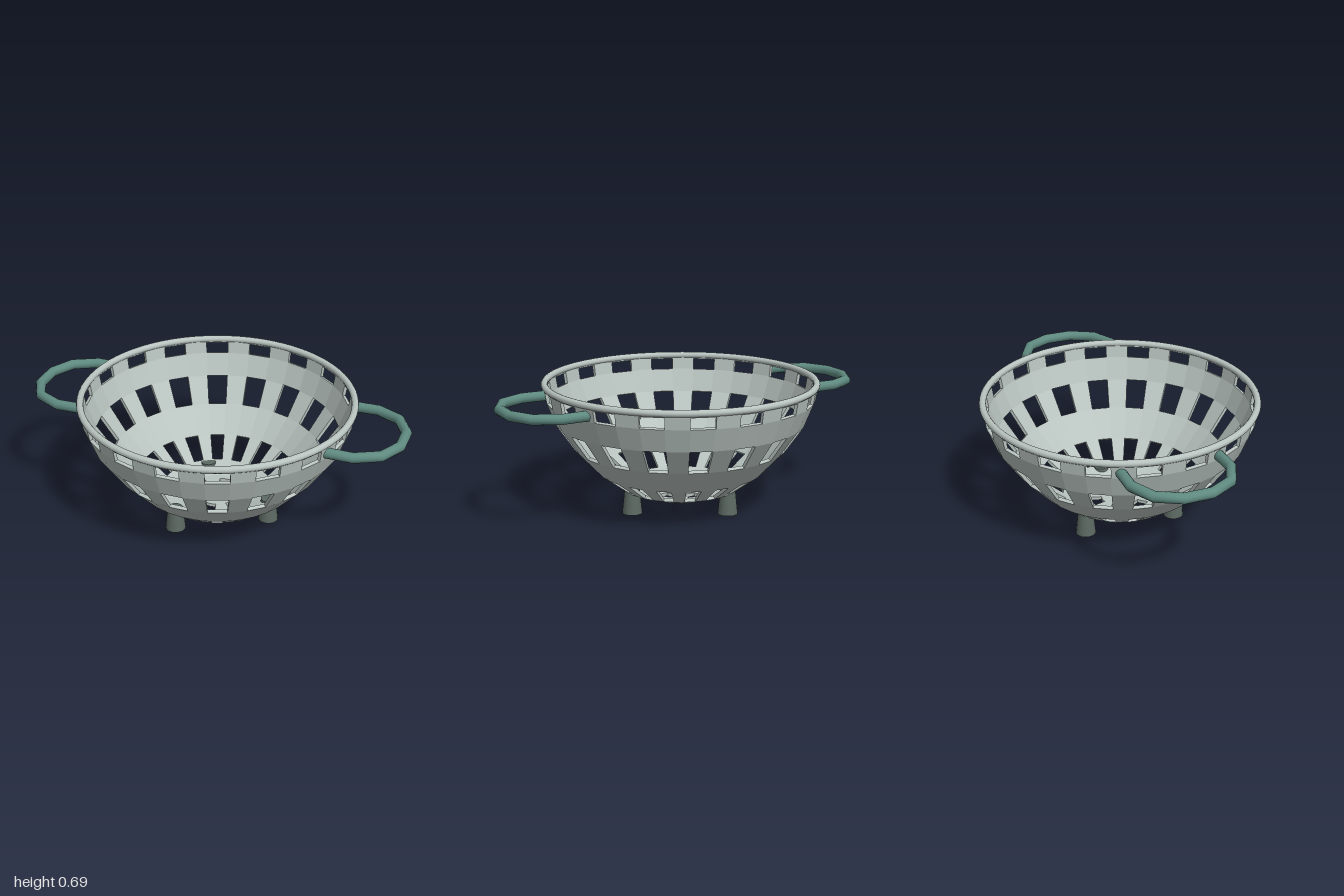
import * as THREE from 'three';

const SEGMENTS = 36;
const WALL = 0.018;

// Outer profile of the bowl [radius, height], from the floor centre to the rim
const PROFILE = [
  [0, 0.07], [0.1, 0.07], [0.16, 0.07], [0.2, 0.07], [0.31, 0.11], [0.433, 0.2],
  [0.558, 0.333], [0.65, 0.465], [0.698, 0.587], [0.708, 0.647], [0.71, 0.668],
];

// Inner profile: every point moved along the averaged wall normal
function insetProfile(profile) {
  return profile.map(([r, y], i) => {
    const a = profile[Math.max(i - 1, 0)];
    const b = profile[Math.min(i + 1, profile.length - 1)];
    const dr = b[0] - a[0], dy = b[1] - a[1], len = Math.hypot(dr, dy);
    return [Math.max(0, r - (dy / len) * WALL), y + (dr / len) * WALL];
  });
}

// Bands 4, 6 and 8 carry 18 windows each; band 1 carries 6 floor slots
function isOpen(band, s) {
  if (band === 1) return [5, 0, 1].includes(s % 6);
  return [4, 6, 8].includes(band) && s % 2 === 0;
}

function bowlGeometry() {
  const inner = insetProfile(PROFILE);
  const positions = [];
  const at = (profile, j, s) => {
    const angle = ((s - 0.5) / SEGMENTS) * Math.PI * 2;
    const [r, y] = profile[j];
    return [r * Math.sin(angle), y, r * Math.cos(angle)];
  };
  const O = (j, s) => at(PROFILE, j, s);
  const I = (j, s) => at(inner, j, s);
  const quad = (a, b, c, d) => positions.push(...a, ...b, ...c, ...a, ...c, ...d);

  for (let j = 0; j < PROFILE.length - 1; j++) {
    for (let s = 0; s < SEGMENTS; s++) {
      const k = j + 1, t = s + 1;
      if (!isOpen(j, s)) {
        quad(O(j, s), O(j, t), O(k, t), O(k, s));
        quad(I(j, t), I(j, s), I(k, s), I(k, t));
        continue;
      }
      // Cut edges around each opening
      quad(O(j, s), O(j, t), I(j, t), I(j, s));
      quad(O(k, t), O(k, s), I(k, s), I(k, t));
      if (!isOpen(j, (s + SEGMENTS - 1) % SEGMENTS)) quad(O(j, s), I(j, s), I(k, s), O(k, s));
      if (!isOpen(j, t % SEGMENTS)) quad(I(j, t), O(j, t), O(k, t), I(k, t));
    }
  }
  const geometry = new THREE.BufferGeometry();
  geometry.setAttribute('position', new THREE.Float32BufferAttribute(positions, 3));
  geometry.computeVertexNormals();
  return geometry;
}

function createHandle(side, material) {
  const group = new THREE.Group();
  group.name = side > 0 ? 'leftHandle' : 'rightHandle';
  const half = [[0.645, 0.25], [0.79, 0.252], [0.91, 0.19], [0.973, 0.07]];
  const path = [...half, ...half.map(([x, z]) => [x, -z]).reverse()]
    .map(([x, z]) => new THREE.Vector3(side * x, 0.615, side * z));
  const curve = new THREE.CatmullRomCurve3(path);
  const grip = new THREE.Mesh(new THREE.TubeGeometry(curve, 7, 0.027, 12), material);
  grip.name = 'grip';
  group.add(grip);
  // Closed ends inside the wall
  for (const u of [0, 1]) {
    const cap = new THREE.Mesh(new THREE.CircleGeometry(0.027, 12), material);
    const out = curve.getTangentAt(u).multiplyScalar(u ? 1 : -1);
    cap.position.copy(curve.getPointAt(u));
    cap.quaternion.setFromUnitVectors(new THREE.Vector3(0, 0, 1), out);
    cap.name = 'gripEnd';
    group.add(cap);
  }
  return group;
}

export function createModel() {
  const model = new THREE.Group();
  model.name = 'colander';
  const metal = new THREE.MeshStandardMaterial({ color: 0xb9c4c0 });
  const bowlMetal = new THREE.MeshStandardMaterial({ color: 0xb9c4c0, flatShading: true });
  const green = new THREE.MeshStandardMaterial({ color: 0x5f8a80 });
  const dark = new THREE.MeshStandardMaterial({ color: 0x5c6963 });

  const bowl = new THREE.Mesh(bowlGeometry(), bowlMetal);
  bowl.name = 'bowl';
  model.add(bowl);

  // Rolled rim
  const rim = new THREE.Mesh(new THREE.TorusGeometry(0.702, 0.018, 12, 72), metal);
  rim.name = 'rim';
  rim.rotation.x = Math.PI / 2;
  rim.position.y = 0.668;
  model.add(rim);

  for (const side of [1, -1]) model.add(createHandle(side, green));

  // Three tapered feet
  for (let i = 0; i < 3; i++) {
    const angle = (i / 3) * Math.PI * 2;
    const foot = new THREE.Mesh(new THREE.CylinderGeometry(0.04, 0.053, 0.124, 16), dark);
    foot.name = 'foot';
    foot.position.set(0.286 * Math.cos(angle), 0.062, 0.286 * Math.sin(angle));
    model.add(foot);
  }
  return model;
}
